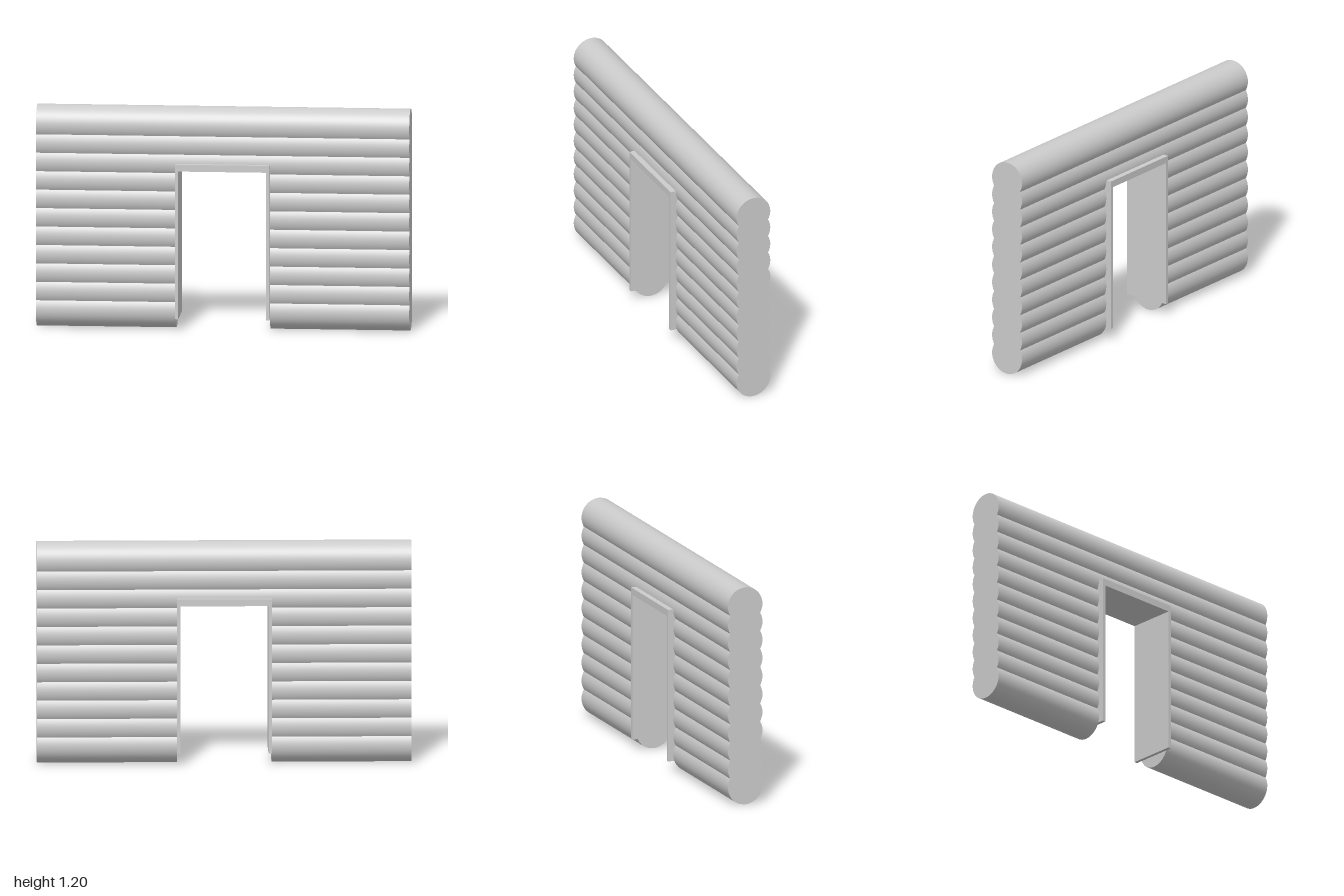
import * as THREE from 'three';

const R = 0.1, HALF_LENGTH = 1, OPENING = 0.253, DOOR_TOP = 0.9;
const material = new THREE.MeshStandardMaterial({ color: 0xcccccc });

// Horizontal log from x0 to x1; arc = PI leaves only the upper half
function makeLog(name, x0, x1, y, arc = Math.PI * 2) {
  const geometry = new THREE.CylinderGeometry(R, R, x1 - x0, arc > 4 ? 40 : 20, 1, false, 0, arc);
  geometry.rotateZ(Math.PI / 2);
  const mesh = new THREE.Mesh(geometry, material);
  mesh.name = name;
  mesh.position.set((x0 + x1) / 2, y, 0);
  return mesh;
}

export function createModel() {
  const model = new THREE.Group();
  model.name = 'logWallWithDoorway';

  // Stacked overlapping logs, split by the doorway below its top
  const logs = new THREE.Group();
  logs.name = 'logs';
  for (let i = 1; i <= 11; i++) {
    const y = i * 0.1;
    if (i > 9) {
      logs.add(makeLog('fullLog', -HALF_LENGTH, HALF_LENGTH, y));
    } else {
      logs.add(makeLog('rightLog', -HALF_LENGTH, -OPENING, y));
      logs.add(makeLog('leftLog', OPENING, HALF_LENGTH, y));
    }
  }
  // Remaining upper half of the log notched by the doorway
  logs.add(makeLog('notchedLog', -OPENING, OPENING, DOOR_TOP, Math.PI));
  model.add(logs);

  // Thin door lining: two jambs and a head in one U-shaped section
  const inner = 0.235, bottom = 0.065, top = 0.903, headBottom = 0.866, depth = 0.26;
  const section = new THREE.Shape([
    [-OPENING, bottom], [-inner, bottom], [-inner, headBottom], [inner, headBottom],
    [inner, bottom], [OPENING, bottom], [OPENING, top], [-OPENING, top],
  ].map(([x, y]) => new THREE.Vector2(x, y)));
  const frameGeometry = new THREE.ExtrudeGeometry(section, { depth, bevelEnabled: false });
  frameGeometry.translate(0, 0, -depth / 2);
  const frame = new THREE.Mesh(frameGeometry, material);
  frame.name = 'doorFrame';
  model.add(frame);

  return model;
}
